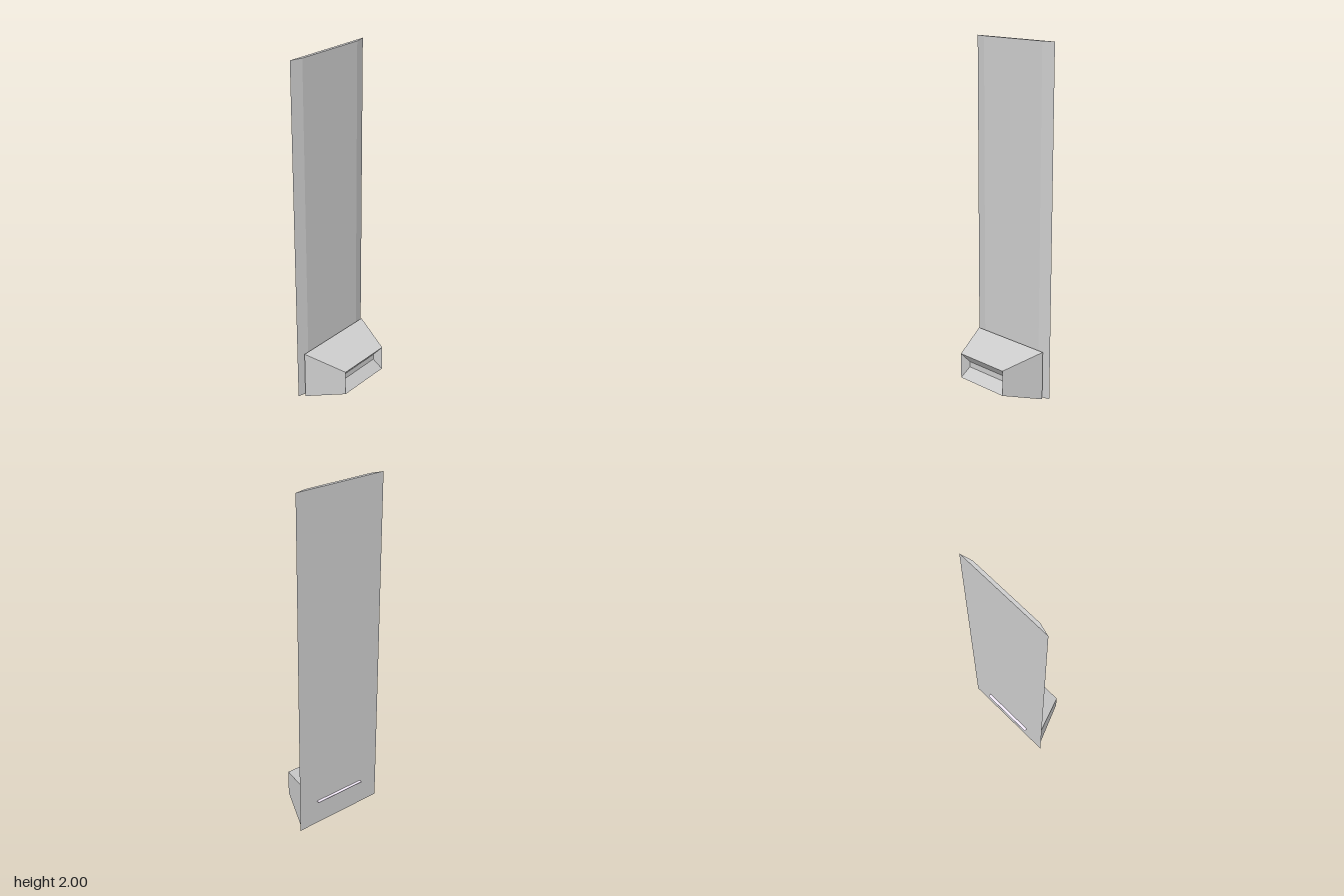
import * as THREE from 'three';

// Skin a series of rectangles [halfWidth, bottom, top, z], back to front, and cap both ends
function loftRects(rects) {
  const rings = rects.map(([w, b, t, z]) => [[-w, b, z], [w, b, z], [w, t, z], [-w, t, z]]);
  const pos = [];
  const quad = (a, b, c, d) => pos.push(...a, ...b, ...c, ...a, ...c, ...d);
  for (let r = 0; r < rings.length - 1; r++) {
    for (let i = 0; i < 4; i++) {
      const j = (i + 1) % 4;
      quad(rings[r][i], rings[r][j], rings[r + 1][j], rings[r + 1][i]);
    }
  }
  const first = rings[0], last = rings[rings.length - 1];
  quad(first[3], first[2], first[1], first[0]);
  quad(...last);
  const geo = new THREE.BufferGeometry();
  geo.setAttribute('position', new THREE.Float32BufferAttribute(pos, 3));
  geo.computeVertexNormals();
  return geo;
}

export function createModel() {
  const model = new THREE.Group();
  const grey = new THREE.MeshStandardMaterial({ color: 0xcccccc, flatShading: true });
  const lavender = new THREE.MeshStandardMaterial({ color: 0xf4eafa, flatShading: true });

  const add = (name, geo, material, x = 0, y = 0, z = 0) => {
    const mesh = new THREE.Mesh(geo, material);
    mesh.name = name;
    mesh.position.set(x, y, z);
    model.add(mesh);
  };

  // Tall back panel with bevelled long edges
  const section = new THREE.Shape([
    new THREE.Vector2(-0.285, 0.121),
    new THREE.Vector2(-0.215, 0.102),
    new THREE.Vector2(0.215, 0.102),
    new THREE.Vector2(0.285, 0.121),
  ]);
  const panel = new THREE.ExtrudeGeometry(section, { depth: 2, bevelEnabled: false });
  panel.rotateX(-Math.PI / 2);
  add('backPanel', panel, grey);

  // Tapered housing with a funnel-shaped mouth sunk into its front
  add('slotHousing', loftRects([
    [0.257, 0.0, 0.288, -0.092],
    [0.168, 0.07, 0.219, 0.138],
    [0.143, 0.13, 0.163, 0.092],
  ]), grey);

  // Narrow strip between housing and panel
  add('slotStrip', new THREE.BoxGeometry(0.4, 0.014, 0.006), grey, 0, 0.153, -0.095);

  // Thin tongue running through the panel and out of its back
  add('tongue', new THREE.BoxGeometry(0.324, 0.004, 0.048), lavender, 0, 0.15, -0.115);

  return model;
}
